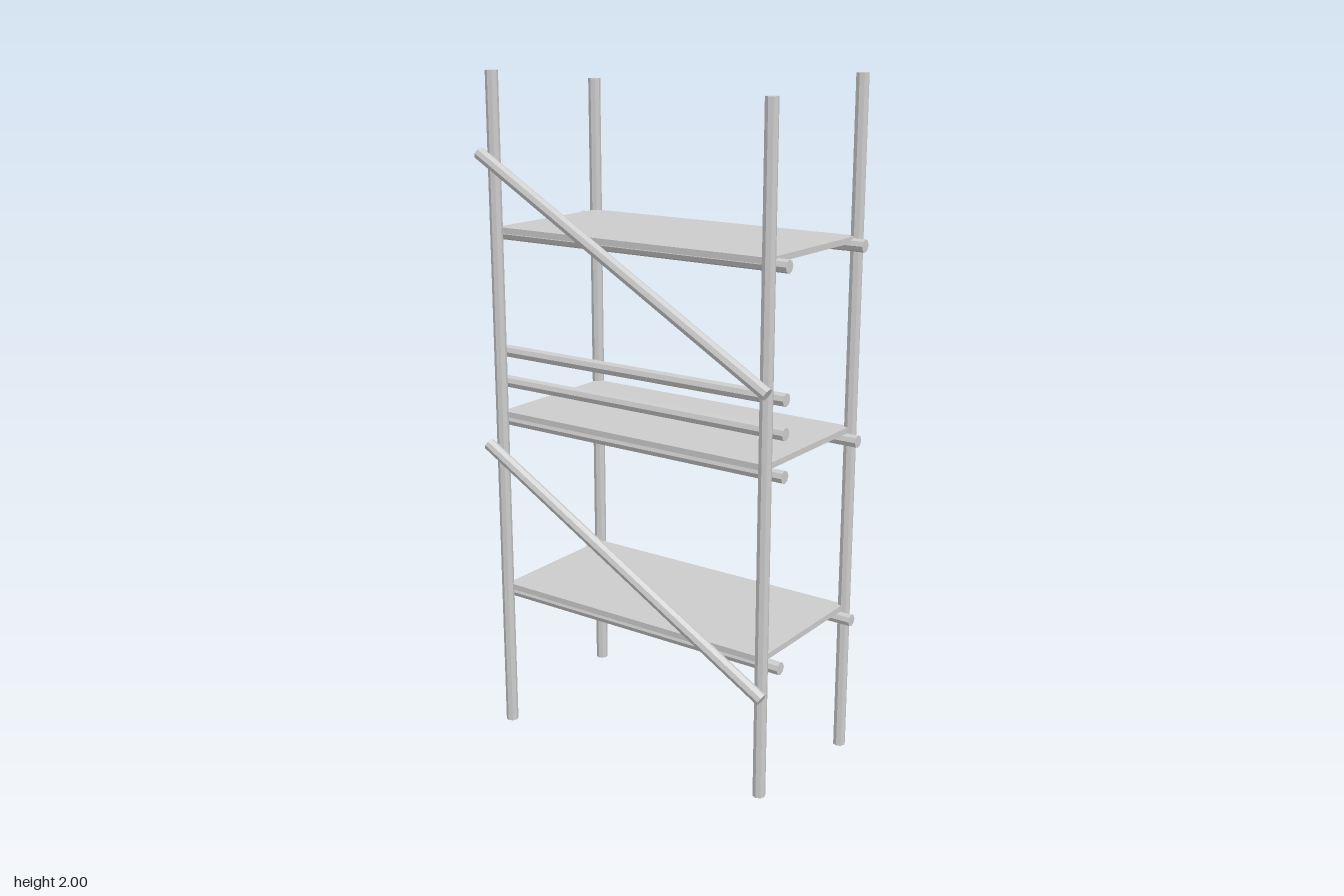
import * as THREE from 'three';

const R = 0.0185;

export function createModel() {
  const model = new THREE.Group();
  const mat = new THREE.MeshStandardMaterial({ color: 0xcccccc, flatShading: true });

  // Eight-sided pole running from point a to point b
  function pole(name, a, b) {
    const from = new THREE.Vector3(...a), to = new THREE.Vector3(...b);
    const dir = to.clone().sub(from);
    const mesh = new THREE.Mesh(new THREE.CylinderGeometry(R, R, dir.length(), 8), mat);
    mesh.position.copy(from).add(to).multiplyScalar(0.5);
    mesh.quaternion.setFromUnitVectors(new THREE.Vector3(0, 1, 0), dir.normalize());
    mesh.name = name;
    model.add(mesh);
  }

  // Uprights: one diagonal pair is slightly longer than the other
  for (const [x, z, inset] of [
    [-0.214, 0.461, 0.04], [0.246, 0.461, 0],
    [-0.214, -0.461, 0], [0.246, -0.461, 0.04],
  ]) pole('upright', [x, inset, z], [x, 2 - inset, z]);

  // Three decks, each on a pair of long rails
  for (const [railY, deckY] of [[0.425, 0.452], [0.977, 1.003], [1.538, 1.552]]) {
    for (const x of [-0.178, 0.223]) pole('deckRail', [x, railY, -0.5], [x, railY, 0.5]);
    const deck = new THREE.Mesh(new THREE.BoxGeometry(0.458, 0.017, 0.922), mat);
    deck.position.set(0.016, deckY, 0);
    deck.name = 'deck';
    model.add(deck);
  }

  // Guard rails above the middle deck
  for (const y of [1.095, 1.188]) pole('guardRail', [-0.178, y, -0.5], [-0.178, y, 0.5]);

  // Diagonal braces on the outside
  for (const y of [0.356, 1.215]) pole('brace', [-0.25, y, 0.485], [-0.25, y + 0.557, -0.485]);

  return model;
}
